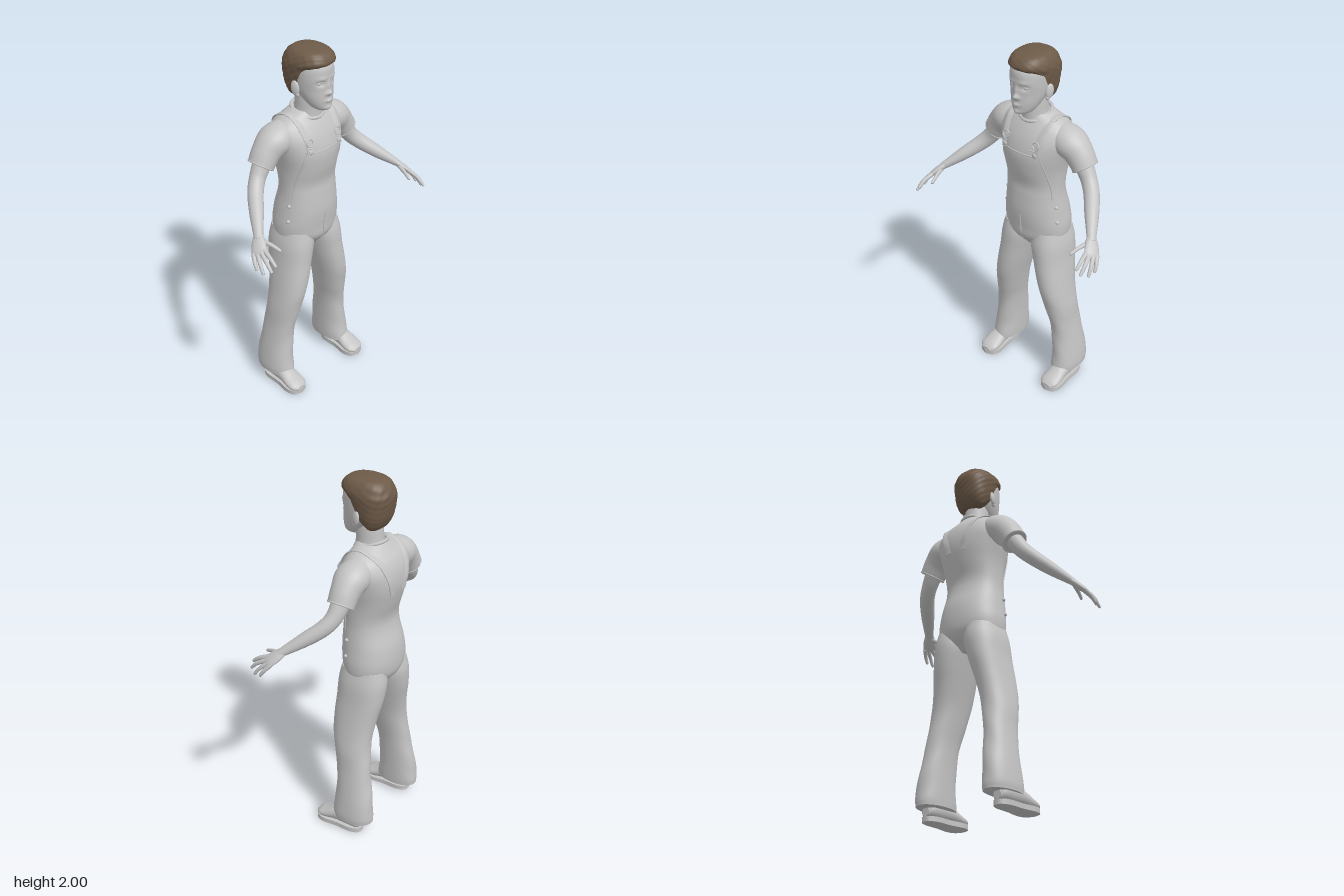
import * as THREE from 'three';

const cloth = new THREE.MeshStandardMaterial({ color: 0xc4c4c4 });
cloth.name = 'light grey';
const brown = new THREE.MeshStandardMaterial({ color: 0x6e5b49 });
brown.name = 'hair brown';

// Smooth loft through sections [x, y, z, halfU, halfV, power]; u is the section's first axis.
function loft(secs, { u = [1, 0, 0], axis = null, seg = 28, steps = 5, rule = null } = {}) {
  const curve = (f) => new THREE.CatmullRomCurve3(secs.map(f), false, 'catmullrom', 0.5);
  const path = curve((s) => new THREE.Vector3(s[0], s[1], s[2]));
  const size = curve((s) => new THREE.Vector3(s[3], s[4], s[5] ?? 2));
  const n = (secs.length - 1) * steps;
  const pos = [], idx = [], centres = [];
  const up = new THREE.Vector3(...u);
  for (let i = 0; i <= n; i++) {
    const c = path.getPoint(i / n), r = size.getPoint(i / n);
    const t = axis ? new THREE.Vector3(...axis) : path.getTangent(i / n);
    const a = up.clone().addScaledVector(t, -up.dot(t)).normalize();
    const b = t.clone().cross(a);
    centres.push(c);
    for (let j = 0; j < seg; j++) {
      const th = (j / seg) * Math.PI * 2, co = Math.cos(th), si = Math.sin(th), e = 2 / r.z;
      const p = c.clone()
        .addScaledVector(a, Math.max(r.x, 0.001) * Math.sign(co) * Math.abs(co) ** e)
        .addScaledVector(b, Math.max(r.y, 0.001) * Math.sign(si) * Math.abs(si) ** e);
      if (rule) rule(p, c);
      pos.push(p.x, p.y, p.z);
    }
  }
  for (let i = 0; i < n; i++) for (let j = 0; j < seg; j++) {
    const k = (j + 1) % seg, p = i * seg, q = p + seg;
    idx.push(p + j, p + k, q + k, p + j, q + k, q + j);
  }
  // flat end caps with their own vertices
  for (const [i, end] of [[0, false], [n, true]]) {
    const base = pos.length / 3;
    pos.push(...pos.slice(i * seg * 3, (i + 1) * seg * 3), centres[i].x, centres[i].y, centres[i].z);
    for (let j = 0; j < seg; j++) {
      const k = (j + 1) % seg;
      idx.push(base + seg, base + (end ? j : k), base + (end ? k : j));
    }
  }
  const g = new THREE.BufferGeometry();
  g.setAttribute('position', new THREE.Float32BufferAttribute(pos, 3));
  g.setIndex(idx);
  g.computeVertexNormals();
  return g;
}

// Horizontal sections [y, zFront, zBack, halfWidth, power], centred on x = 0
const stack = (rows) => rows.map(([y, f, b, w, p]) => [0, y, (f + b) / 2, w, (f - b) / 2, p ?? 2]);
const upright = { axis: [0, 1, 0] };

export function createModel() {
  const model = new THREE.Group();
  model.name = 'boy in overalls';
  const add = (name, geo, mat = cloth) => {
    const m = new THREE.Mesh(geo, mat);
    m.name = name;
    model.add(m);
    return m;
  };
  const ray = new THREE.Raycaster();
  // Point on a mesh's front (side 1) or back (side -1), lifted a little
  const onSurface = (mesh, x, y, side, lift = 0) => {
    ray.set(new THREE.Vector3(x, y, side), new THREE.Vector3(0, 0, -side));
    const hit = ray.intersectObject(mesh)[0];
    return [x, y, (hit ? hit.point.z : -0.1) + side * lift];
  };
  const tube = (name, pts, r) => add(name, new THREE.TubeGeometry(
    new THREE.CatmullRomCurve3(pts.map((p) => new THREE.Vector3(...p))), 30, r, 6));
  const ball = (name, p, s) => {
    const m = add(name, new THREE.SphereGeometry(1, 20, 14));
    m.position.set(...p);
    m.scale.set(...s);
    return m;
  };

  // Torso
  const torso = add('torso', loft(stack([
    [0.86, -0.03, -0.17, 0.05], [0.93, 0.028, -0.235, 0.17], [1.0, 0.038, -0.25, 0.19, 2.2],
    [1.1, 0.046, -0.243, 0.18, 2.2], [1.2, 0.04, -0.215, 0.167, 2.2], [1.27, 0.036, -0.21, 0.165, 2.2],
    [1.36, 0.055, -0.235, 0.172, 2.2], [1.45, 0.063, -0.254, 0.192, 2.2], [1.53, 0.045, -0.25, 0.212, 2.2],
    [1.59, 0.018, -0.228, 0.205], [1.63, -0.006, -0.195, 0.155], [1.665, -0.02, -0.165, 0.085],
  ]), { ...upright, seg: 48 }));

  // Neck and shirt collar
  add('neck', loft(stack([[1.6, 0, -0.16, 0.085], [1.66, 0, -0.15, 0.069],
    [1.72, 0, -0.145, 0.065], [1.78, -0.01, -0.14, 0.06]]), upright));
  const collar = add('collar', new THREE.TorusGeometry(0.078, 0.009, 8, 40));
  collar.rotation.x = Math.PI / 2 + 0.28;
  collar.scale.y = 1.08;
  collar.position.set(0, 1.652, -0.082);

  // Head, with face features raised and sunk: [x, y, spreadX, spreadY, depth]
  const features = [[0, 1.788, 0.013, 0.013, 0.02], [0, 1.82, 0.009, 0.022, 0.01], [0, 1.745, 0.02, 0.008, 0.009],
    [0, 1.705, 0.02, 0.012, 0.007]];
  for (const s of [1, -1]) features.push([s * 0.041, 1.838, 0.018, 0.012, -0.012],
    [s * 0.04, 1.865, 0.026, 0.009, 0.005], [s * 0.018, 1.783, 0.008, 0.008, 0.006]);
  const head = add('head', loft(stack([
    [1.685, 0.05, -0.02, 0.025], [1.697, 0.066, -0.04, 0.045], [1.72, 0.07, -0.07, 0.064],
    [1.755, 0.072, -0.11, 0.08], [1.8, 0.07, -0.15, 0.093], [1.86, 0.07, -0.18, 0.1, 2.2],
    [1.92, 0.066, -0.185, 0.1], [1.965, 0.03, -0.15, 0.07], [1.985, -0.02, -0.1, 0.02],
  ]), { ...upright, seg: 90, steps: 9, rule: (p, c) => {
    if (p.z < c.z) return;
    for (const [x, y, sx, sy, d] of features)
      p.z += d * Math.exp(-(((p.x - x) / sx) ** 2) - ((p.y - y) / sy) ** 2);
  } }));
  tube('mouth', [-0.026, -0.012, 0, 0.012, 0.026].map((x) => onSurface(head, x, 1.741, 1, -0.001)), 0.002);
  for (const s of [1, -1]) {
    ball('eye', onSurface(head, s * 0.041, 1.837, 1, -0.003), [0.016, 0.008, 0.007]);
    tube('eyelid', [0.024, 0.034, 0.046, 0.059].map((x, i) =>
      onSurface(head, s * x, [1.84, 1.847, 1.848, 1.841][i], 1, 0)), 0.0028);
    const ear = ball('ear', [s * 0.104, 1.803, -0.06], [0.012, 0.039, 0.023]);
    ear.rotation.set(-0.15, -s * 0.3, 0);
    ball('earLobe', [s * 0.1, 1.77, -0.05], [0.009, 0.014, 0.012]);
  }

  // Hair, swept back at the temples and lightly tousled
  add('hair', loft(stack([
    [1.735, -0.09, -0.14, 0.055], [1.755, -0.07, -0.163, 0.082], [1.8, -0.02, -0.186, 0.1, 2.3],
    [1.86, 0.012, -0.198, 0.108, 2.4], [1.905, 0.035, -0.203, 0.112, 2.4], [1.935, 0.071, -0.198, 0.11, 2.3],
    [1.968, 0.06, -0.178, 0.096, 2.4], [1.99, 0.03, -0.145, 0.072, 2.4], [1.998, -0.03, -0.09, 0.025],
  ]), { ...upright, seg: 72, steps: 7, rule: (p, c) => {
    const k = 1 + 0.014 * Math.sin(p.x * 90 + p.y * 130) * Math.sin(p.z * 110 - p.y * 60);
    p.x *= k;
    p.z = c.z + (p.z - c.z) * k;
  } }), brown);

  for (const s of [1, -1]) {
    const flip = (rows) => rows.map(([x, ...r]) => [s * x, ...r]);
    const side = s > 0 ? 'left' : 'right';

    // Sleeve, with a rolled hem
    add(side + 'Sleeve', loft(flip([
      [0.11, 1.545, -0.11, 0.075, 0.085], [0.2, 1.535, -0.11, 0.092, 0.084],
      [0.26, 1.488, -0.112, 0.077, 0.075], [0.302, 1.425, -0.112, 0.07, 0.067],
    ]), { u: [0, 0, 1] }));
    const hem = add(side + 'SleeveHem', new THREE.TorusGeometry(0.067, 0.005, 6, 32));
    hem.position.set(s * 0.3, 1.428, -0.112);
    hem.lookAt(s * 0.342, 1.365, -0.112);

    // Arm and palm
    const across = [s * 0.58, -0.36, -0.73];
    add(side + 'Arm', loft(flip([
      [0.26, 1.485, -0.11, 0.052, 0.052], [0.3, 1.428, -0.108, 0.048, 0.048], [0.34, 1.37, -0.098, 0.042, 0.044],
      [0.385, 1.32, -0.065, 0.041, 0.041], [0.445, 1.262, 0.005, 0.037, 0.035], [0.512, 1.2, 0.087, 0.025, 0.021],
      [0.525, 1.187, 0.102, 0.025, 0.019],
    ]), { u: across }));
    add(side + 'Palm', loft(flip([
      [0.508, 1.203, 0.083, 0.023, 0.017], [0.535, 1.175, 0.113, 0.036, 0.018],
      [0.56, 1.148, 0.143, 0.039, 0.014], [0.57, 1.137, 0.155, 0.031, 0.007],
    ]), { u: across }));

    // Fingers and thumb: base, middle, tip
    const fingers = [
      ['Thumb', [0.517, 1.182, 0.108], [0.499, 1.17, 0.168], [0.485, 1.152, 0.212]],
      ['IndexFinger', [0.542, 1.16, 0.16], [0.551, 1.138, 0.213], [0.553, 1.11, 0.25]],
      ['MiddleFinger', [0.555, 1.152, 0.148], [0.571, 1.12, 0.207], [0.575, 1.085, 0.244]],
      ['RingFinger', [0.566, 1.145, 0.135], [0.588, 1.11, 0.178], [0.597, 1.07, 0.208]],
      ['LittleFinger', [0.576, 1.138, 0.121], [0.596, 1.105, 0.149], [0.602, 1.076, 0.168]],
    ];
    for (const [name, a, b, c] of fingers) {
      const tip = c.map((v, i) => v + (c[i] - b[i]) * 0.12);
      add(side + name, loft(flip([[...a, 0.013, 0.012], [...b, 0.0105, 0.01], [...c, 0.008, 0.0075],
        [...tip, 0.002, 0.002]]), { u: across, seg: 12 }));
    }

    // Trouser leg: [y, inner x, outer x, front z, back z]
    const leg = [[0.98, 0.01, 0.183, 0.015, -0.23], [0.9, 0.004, 0.202, 0.03, -0.243], [0.8, 0.028, 0.212, 0.033, -0.235],
      [0.7, 0.055, 0.226, 0.036, -0.215], [0.6, 0.082, 0.241, 0.03, -0.2], [0.5, 0.105, 0.256, 0.01, -0.2],
      [0.4, 0.126, 0.263, -0.012, -0.21], [0.3, 0.137, 0.276, -0.02, -0.225], [0.2, 0.143, 0.29, -0.018, -0.24],
      [0.11, 0.147, 0.299, -0.005, -0.25], [0.07, 0.15, 0.297, -0.004, -0.246]].reverse();
    add(side + 'TrouserLeg', loft(leg.map(([y, i, o, f, b]) =>
      [s * (i + o) / 2, y, (f + b) / 2, (o - i) / 2, (f - b) / 2, 2.2]), {
      ...upright, seg: 36, rule: (p, c) => {
        const fold = 1 + 0.02 * Math.sin(p.y * 34 + p.x * s * 30) * THREE.MathUtils.smoothstep(0.75 - p.y, 0, 0.4);
        p.z = c.z + (p.z - c.z) * fold;
      },
    }));

    // Shoe upper and sole
    add(side + 'Shoe', loft([[-0.185, 0.05, 0.022, 0.022], [-0.165, 0.06, 0.04, 0.04], [-0.1, 0.068, 0.046, 0.052],
      [-0.03, 0.064, 0.05, 0.047], [0.03, 0.046, 0.057, 0.034], [0.07, 0.038, 0.052, 0.023],
      [0.093, 0.032, 0.028, 0.01]].map(([z, y, a, b]) => [s * 0.235, y, z, a, b]), { axis: [0, 0, 1] }));
    const outline = new THREE.Shape(new THREE.SplineCurve([[0, -0.098], [0.045, -0.08], [0.061, -0.03], [0.05, 0.05],
      [0.046, 0.14], [0.026, 0.184], [0, 0.192], [-0.026, 0.184], [-0.046, 0.14], [-0.048, 0.05], [-0.06, -0.03],
      [-0.045, -0.08], [0, -0.098]].map(([x, y]) => new THREE.Vector2(x, y))).getPoints(48));
    const sole = add(side + 'Sole', new THREE.ExtrudeGeometry(outline, { depth: 0.026, bevelEnabled: false }));
    sole.rotation.x = -Math.PI / 2;
    sole.position.x = s * 0.235;

    // Strap over the shoulder, converging at the back
    const strap = [
      ...[[0.1, 1.46], [0.105, 1.53], [0.112, 1.59], [0.118, 1.63]].map(([x, y]) => onSurface(torso, s * x, y, 1, 0.001)),
      [s * 0.119, 1.652, -0.1],
      ...[[0.112, 1.625], [0.095, 1.58], [0.07, 1.5], [0.045, 1.42]].map(([x, y]) => onSurface(torso, s * x, y, -1, 0.001)),
    ];
    add(side + 'Strap', loft(strap.map((p) => [...p, 0.02, 0.004, 3]), { seg: 16 }));

    // Buckle: ring, bar and button
    const at = (x, y) => onSurface(torso, s * x, y, 1, 0.006);
    const ring = add(side + 'BuckleRing', new THREE.TorusGeometry(0.02, 0.004, 8, 24));
    ring.position.set(...at(0.1, 1.53));
    ring.rotation.x = -0.25;
    tube(side + 'BuckleBar', [at(0.078, 1.505), at(0.1, 1.502), at(0.122, 1.505)], 0.004);
    ball(side + 'BuckleButton', at(0.1, 1.48), [0.014, 0.014, 0.006]);

    // Bib edge and side buttons
    tube(side + 'BibEdge', [[0.118, 1.48], [0.132, 1.42], [0.142, 1.34], [0.15, 1.26], [0.155, 1.2]]
      .map(([x, y]) => onSurface(torso, s * x, y, 1, 0)), 0.004);
    for (const [y, x] of [[1.15, 0.168], [1.06, 0.177]])
      ball(side + 'HipButton', [s * x, y, -0.05], [0.012, 0.01, 0.01]);
  }

  // Bib top and fly seams
  tube('bibTop', [-0.1, -0.05, 0, 0.05, 0.1].map((x) => onSurface(torso, x, 1.47, 1, 0)), 0.0035);
  tube('fly', [1.08, 1.02, 0.97, 0.92].map((y) => onSurface(torso, 0, y, 1, 0)), 0.004);
  return model;
}
